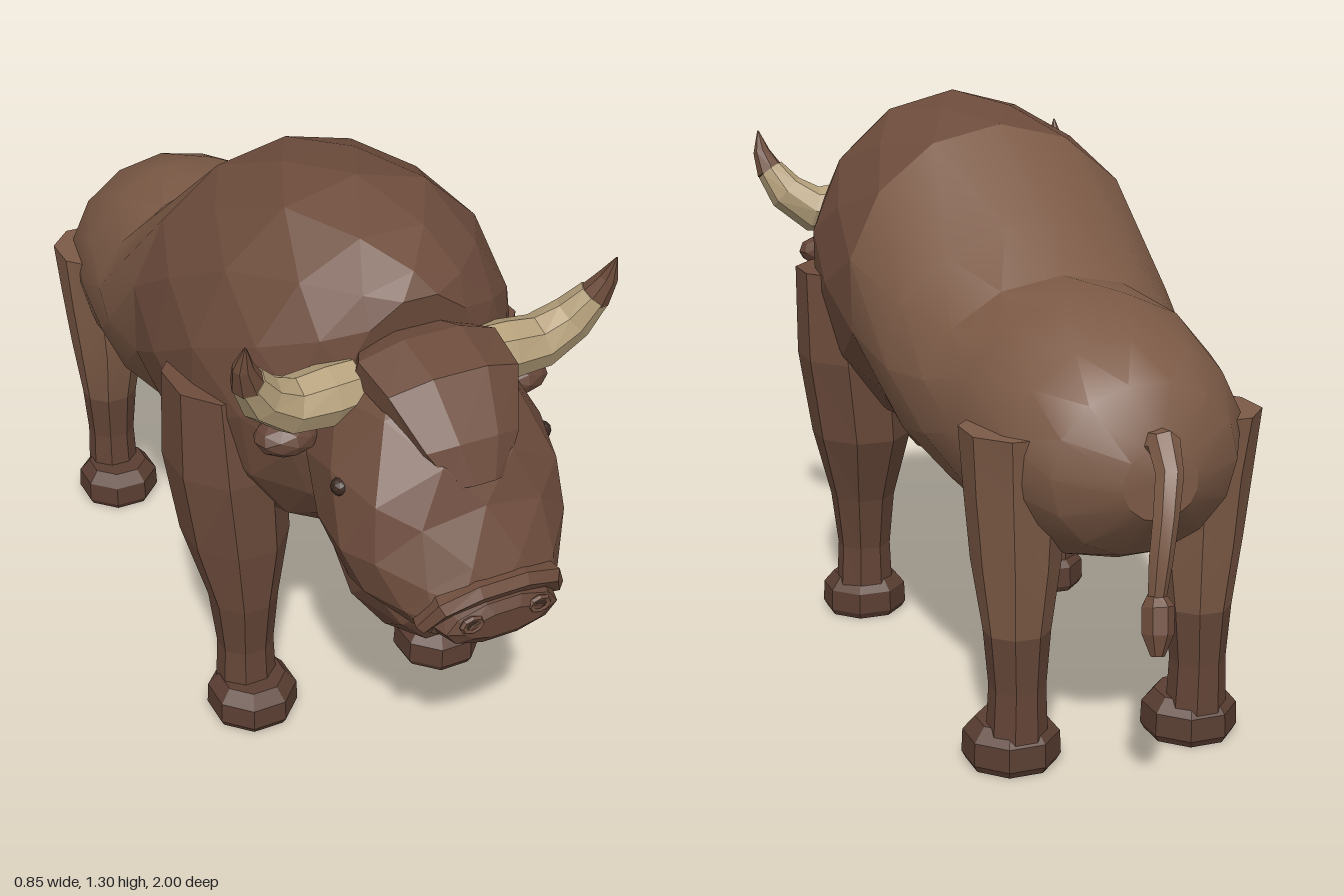
import * as THREE from 'three';
import { toCreasedNormals } from 'three/addons/utils/BufferGeometryUtils.js';

const flat = (name, color) => new THREE.MeshStandardMaterial({ name, color, flatShading: true });
const V = (x, y, z) => new THREE.Vector3(x, y, z);

// Skin a list of equal-sized rings, capped at both ends, always facing outwards
function loft(rings) {
  const n = rings[0].length, pos = [];
  const tri = (a, b, c) => pos.push(...a, ...b, ...c);
  const middle = r => r.reduce((s, p) => s.add(p), V(0, 0, 0)).divideScalar(n);
  const last = rings.length - 1, c0 = middle(rings[0]), c1 = middle(rings[last]);
  for (let i = 0; i < n; i++) {
    const j = (i + 1) % n;
    for (let k = 0; k < last; k++) {
      const a = rings[k], b = rings[k + 1];
      tri(a[i], a[j], b[i]);
      tri(a[j], b[j], b[i]);
    }
    tri(c0, rings[0][j], rings[0][i]);
    tri(c1, rings[last][i], rings[last][j]);
  }
  let volume = 0;
  const [a, b, c] = [V(), V(), V()];
  for (let i = 0; i < pos.length; i += 9) {
    volume += a.fromArray(pos, i).dot(b.fromArray(pos, i + 3).cross(c.fromArray(pos, i + 6)));
  }
  if (volume < 0) {
    for (let i = 0; i < pos.length; i += 9) {
      for (let k = 0; k < 3; k++) [pos[i + k], pos[i + 3 + k]] = [pos[i + 3 + k], pos[i + k]];
    }
  }
  const g = new THREE.BufferGeometry();
  g.setAttribute('position', new THREE.Float32BufferAttribute(pos, 3));
  g.computeVertexNormals();
  return g;
}

// Slanted cross-section from its top (zt, yt) to its bottom (zb, yb), half width w
function slice([zt, yt, zb, yb, w], n, shift) {
  const s = shift % 1 ? 1 / Math.cos(Math.PI / n) : 1;
  return Array.from({ length: n }, (_, i) => {
    const a = (i + shift) / n * Math.PI * 2, c = Math.cos(a) * s / 2;
    return V(Math.sin(a) * w, (yt + yb) / 2 + (yt - yb) * c, (zt + zb) / 2 + (zt - zb) * c);
  });
}
// Staggered slices give zigzag facets
const slices = (list, n, start = 0, step = 0.5) => loft(list.map((s, i) => slice(s, n, start + i * step)));

// Octagonal column from levels [y, inner x, outer x, back z, front z]
function column(levels, side) {
  return loft(levels.map(([y, xi, xo, zb, zf]) => Array.from({ length: 8 }, (_, i) => {
    const a = (i + 0.5) * Math.PI / 4, s = 0.5 / Math.cos(Math.PI / 8);
    return V(side * ((xi + xo) / 2 + (xo - xi) * s * Math.cos(a)), y, (zb + zf) / 2 + (zf - zb) * s * Math.sin(a));
  })));
}

// Tapering sweep through [x, y, z, radius], bending around the given axis
function sweep(pts, n, axis) {
  const p = pts.map(q => V(q[0], q[1], q[2]));
  return loft(p.map((q, i) => {
    const t = p[Math.min(i + 1, p.length - 1)].clone().sub(p[Math.max(i - 1, 0)]).normalize();
    const v = t.clone().cross(axis).normalize(), u = v.clone().cross(t);
    return Array.from({ length: n }, (_, k) => {
      const a = k / n * Math.PI * 2, r = pts[i][3];
      return q.clone().addScaledVector(u, Math.cos(a) * r).addScaledVector(v, Math.sin(a) * r);
    });
  }));
}

export function createModel() {
  const model = new THREE.Group();
  model.name = 'bison';
  const hide = new THREE.MeshStandardMaterial({ name: 'hide brown', color: 0x7c5a46 });
  const mane = flat('mane brown', 0x6d4c3c);
  const shin = flat('leg brown', 0x644537);
  const hoofMat = flat('hoof brown', 0x5a3e32);
  const horn = flat('horn tan', 0xb5a07b);
  const tip = flat('horn tip brown', 0x6e4d3b);
  const dark = flat('dark brown', 0x3a2820);
  const add = (name, geo, mat, parent = model) => {
    const m = new THREE.Mesh(geo, mat);
    m.name = name;
    parent.add(m);
    return m;
  };
  const smooth = g => toCreasedNormals(g, 0.5);

  // Body: smooth hindquarters and faceted humped shoulders sharing one ring
  const waist = [0.02, 1.25, 0, 0.51, 0.37];
  add('hindquarters', smooth(slices([
    waist, [-0.22, 1.06, -0.2, 0.46, 0.345], [-0.36, 0.97, -0.35, 0.45, 0.32],
    [-0.53, 0.96, -0.5, 0.43, 0.3], [-0.71, 0.91, -0.66, 0.44, 0.265],
    [-0.8, 0.84, -0.78, 0.49, 0.2], [-0.86, 0.73, -0.86, 0.58, 0.08]], 14)), hide);
  add('shoulderHump', slices([
    waist, [0.18, 1.275, 0.15, 0.49, 0.38], [0.35, 1.3, 0.3, 0.47, 0.37],
    [0.5, 1.24, 0.44, 0.52, 0.32], [0.59, 1.195, 0.52, 0.58, 0.25], [0.62, 1.15, 0.57, 0.66, 0.17]], 14), mane);

  // Head, forelock, muzzle and beard
  const head = new THREE.Group();
  head.name = 'head';
  model.add(head);
  add('skull', slices([
    [0.55, 1.05, 0.48, 0.72, 0.19], [0.66, 1.07, 0.52, 0.62, 0.23], [0.77, 1.03, 0.6, 0.58, 0.25],
    [0.86, 0.92, 0.7, 0.55, 0.25], [0.9, 0.84, 0.77, 0.545, 0.225], [0.95, 0.74, 0.86, 0.555, 0.175],
    [0.975, 0.69, 0.92, 0.56, 0.14]], 10), mane, head);
  add('forelock', slices([
    [0.59, 1.08, 0.56, 0.98, 0.12], [0.67, 1.1, 0.62, 0.98, 0.165], [0.78, 1.07, 0.71, 0.97, 0.155],
    [0.86, 0.965, 0.79, 0.91, 0.11], [0.89, 0.885, 0.84, 0.86, 0.06]], 8, 0.5, 0), mane, head);
  add('noseRidge', sweep([
    [-0.15, 0.625, 0.93, 0.02], [-0.12, 0.675, 0.955, 0.025], [-0.05, 0.695, 0.965, 0.025],
    [0.05, 0.695, 0.965, 0.025], [0.12, 0.675, 0.955, 0.025], [0.15, 0.625, 0.93, 0.02]], 6, V(0, 0, 1)), mane, head);
  add('nosePad', slices([
    [0.94, 0.69, 0.93, 0.57, 0.14], [0.985, 0.675, 0.98, 0.58, 0.125], [0.998, 0.655, 0.995, 0.6, 0.09]], 10, 0.5, 0), shin, head);
  add('beard', loft([[0.335, 0.02, 0.58, 0.62], [0.43, 0.1, 0.48, 0.78], [0.5, 0.15, 0.45, 0.84],
    [0.58, 0.17, 0.44, 0.87], [0.72, 0.17, 0.46, 0.8]].map(([y, w, zb, zf], k) =>
    Array.from({ length: 8 }, (_, i) => {
      const a = (i + k / 2) * Math.PI / 4;
      return V(w * Math.sin(a), y, (zb + zf) / 2 + (zf - zb) / 2 * Math.cos(a));
    }))), mane, head);

  // Tail hanging with a sideways curl and a tuft
  add('tail', smooth(sweep([
    [0, 0.72, -0.82, 0.04], [0, 0.735, -0.87, 0.033], [0.01, 0.69, -0.915, 0.028], [0.03, 0.62, -0.945, 0.026],
    [0.045, 0.54, -0.958, 0.024], [0.05, 0.46, -0.955, 0.018]], 7, V(1, 0, 0))), hide);
  add('tailTuft', sweep([
    [0.05, 0.475, -0.95, 0.015], [0.05, 0.45, -0.96, 0.033], [0.055, 0.4, -0.972, 0.032],
    [0.06, 0.36, -0.985, 0.014]], 7, V(1, 0, 0)), mane);

  for (const s of [1, -1]) {
    const label = s > 0 ? 'left' : 'right';

    // Horns
    add(label + 'Horn', sweep([
      [s * 0.14, 0.99, 0.62, 0.06], [s * 0.2, 0.985, 0.62, 0.064], [s * 0.285, 0.985, 0.62, 0.058],
      [s * 0.35, 1.03, 0.635, 0.048], [s * 0.385, 1.085, 0.655, 0.035]], 8, V(0, 0, 1)), horn, head);
    add(label + 'HornTip', sweep([
      [s * 0.384, 1.08, 0.654, 0.035], [s * 0.402, 1.13, 0.672, 0.021], [s * 0.405, 1.18, 0.69, 0.002]], 8, V(0, 0, 1)), tip, head);

    // Ears, eyes and nostrils
    const ear = add(label + 'Ear', new THREE.IcosahedronGeometry(1, 1), shin, head);
    ear.scale.set(0.07, 0.04, 0.055);
    ear.position.set(s * 0.265, 0.885, 0.575);
    const eye = add(label + 'Eye', new THREE.IcosahedronGeometry(0.02, 1), dark, head);
    eye.position.set(s * 0.228, 0.85, 0.735);
    const nostril = add(label + 'Nostril', new THREE.TorusGeometry(0.021, 0.007, 5, 8), mane, head);
    nostril.scale.y = 0.7;
    nostril.position.set(s * 0.075, 0.645, 0.993);
    const hole = add(label + 'NostrilHole', new THREE.CircleGeometry(0.02, 8), dark, head);
    hole.scale.y = 0.7;
    hole.position.set(s * 0.075, 0.645, 0.996);

    // Front leg
    add(label + 'FrontLeg', column([
      [0.89, 0.2, 0.4, 0.18, 0.43], [0.68, 0.16, 0.4, 0.155, 0.44], [0.48, 0.15, 0.37, 0.18, 0.425],
      [0.31, 0.18, 0.325, 0.255, 0.4]], s), mane);
    add(label + 'FrontShin', column([
      [0.31, 0.18, 0.325, 0.255, 0.4], [0.18, 0.19, 0.31, 0.275, 0.385], [0.07, 0.185, 0.315, 0.275, 0.39]], s), shin);

    // Hind leg
    add(label + 'HindLeg', smooth(column([
      [0.73, 0.12, 0.315, -0.74, -0.52], [0.6, 0.11, 0.305, -0.72, -0.53], [0.45, 0.12, 0.29, -0.71, -0.53],
      [0.3, 0.14, 0.27, -0.69, -0.565]], s)), hide);
    add(label + 'HindShin', column([
      [0.3, 0.14, 0.27, -0.69, -0.565], [0.18, 0.15, 0.26, -0.685, -0.575], [0.06, 0.145, 0.265, -0.685, -0.57]], s), shin);

    // Hooves
    for (const [name, x, z] of [['FrontHoof', 0.245, 0.355], ['HindHoof', 0.205, -0.595]]) {
      add(label + name, column([[0, 0.088], [0.015, 0.096], [0.065, 0.094], [0.095, 0.07]].map(([y, r]) =>
        [y, x - r, x + r, z - r, z + r]), s), hoofMat);
    }
  }
  return model;
}
